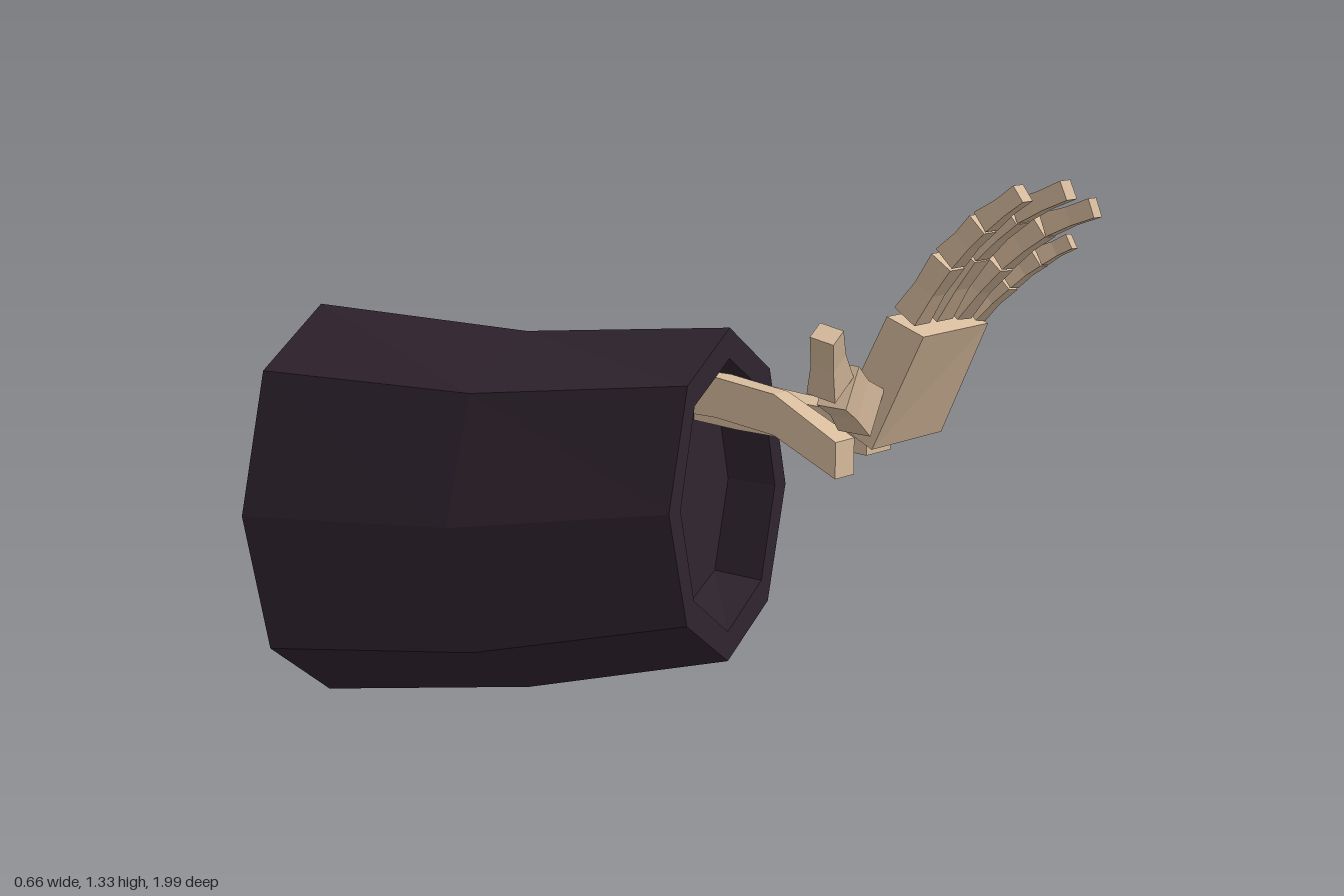
import * as THREE from 'three';

const sleeveMat = new THREE.MeshStandardMaterial({ color: 0x30242f, flatShading: true });
sleeveMat.name = 'dark cloth';
const boneMat = new THREE.MeshStandardMaterial({ color: 0xd6ba9c, flatShading: true });
boneMat.name = 'bone';

// Skin a list of rings (each counterclockwise seen from the far end) and cap both ends
function loft(name, rings, material) {
  const n = rings[0].length, last = rings.length - 1, pos = [];
  const tri = (a, b, c) => pos.push(...a, ...b, ...c);
  for (let i = 0; i < last; i++) {
    for (let j = 0; j < n; j++) {
      const k = (j + 1) % n;
      tri(rings[i][j], rings[i][k], rings[i + 1][k]);
      tri(rings[i][j], rings[i + 1][k], rings[i + 1][j]);
    }
  }
  for (let j = 1; j < n - 1; j++) {
    tri(rings[0][0], rings[0][j + 1], rings[0][j]);
    tri(rings[last][0], rings[last][j], rings[last][j + 1]);
  }
  const geo = new THREE.BufferGeometry();
  geo.setAttribute('position', new THREE.Float32BufferAttribute(pos, 3));
  geo.computeVertexNormals();
  const mesh = new THREE.Mesh(geo, material);
  mesh.name = name;
  return mesh;
}

// Eight-sided sleeve section: half widths and the five heights from bottom to top
function sleeveRing(z, wide, mid, [y0, y1, y2, y3, y4]) {
  const c = 0.05;
  return [[c, y0, z], [c + mid, y1, z], [c + wide, y2, z], [c + mid, y3, z],
    [c, y4, z], [c - mid, y3, z], [c - wide, y2, z], [c - mid, y1, z]];
}

// Rectangular section for forearm bones
function boxRing(x, y, z, w, h) {
  return [[x + w / 2, y + h / 2, z], [x - w / 2, y + h / 2, z],
    [x - w / 2, y - h / 2, z], [x + w / 2, y - h / 2, z]];
}

// Waisted, tapering finger bone from p to q
function phalanx(name, p, q, side, w0, w1, t0, t1) {
  const a = new THREE.Vector3(...p), b = new THREE.Vector3(...q);
  const d = b.clone().sub(a).normalize();
  const s = side.clone().addScaledVector(d, -side.dot(d)).normalize();
  const n = d.clone().cross(s);
  const rings = [[0.03, 1], [0.5, 0.87], [0.96, 1]].map(([f, waist]) => {
    const c = a.clone().lerp(b, f);
    const w = THREE.MathUtils.lerp(w0, w1, f) * waist / 2;
    const t = THREE.MathUtils.lerp(t0, t1, f) * waist / 2;
    return [[1, 1], [-1, 1], [-1, -1], [1, -1]].map(([u, v]) =>
      c.clone().addScaledVector(s, u * w).addScaledVector(n, v * t).toArray());
  });
  return loft(name, rings, boneMat);
}

export function createModel() {
  const model = new THREE.Group();
  model.name = 'skeletonArm';

  // Sleeve with a recessed cuff
  model.add(loft('sleeve', [
    sleeveRing(-1, 0.275, 0.195, [0.0, 0.14, 0.47, 0.8, 0.935]),
    sleeveRing(-0.37, 0.275, 0.195, [0.11, 0.23, 0.525, 0.81, 0.925]),
    sleeveRing(0.185, 0.21, 0.147, [0.26, 0.365, 0.615, 0.875, 0.98]),
    sleeveRing(0.185, 0.17, 0.122, [0.325, 0.415, 0.617, 0.83, 0.915]),
    sleeveRing(0.06, 0.17, 0.122, [0.345, 0.42, 0.617, 0.83, 0.915]),
  ], sleeveMat));

  // Forearm bones
  model.add(loft('outerForearmBone', [
    boxRing(0.135, 0.81, 0.05, 0.08, 0.09),
    boxRing(0.126, 0.802, 0.18, 0.08, 0.09),
    boxRing(0.107, 0.795, 0.36, 0.08, 0.08),
    boxRing(0.095, 0.787, 0.53, 0.09, 0.08),
  ], boneMat));
  model.add(loft('innerForearmBone', [
    boxRing(0.06, 0.835, 0.05, 0.055, 0.085),
    boxRing(0.035, 0.837, 0.18, 0.055, 0.085),
    boxRing(-0.012, 0.825, 0.36, 0.05, 0.085),
    boxRing(-0.03, 0.753, 0.53, 0.068, 0.075),
  ], boneMat));

  // Palm, leaning forward, with one bevelled back corner
  model.add(loft('palm', [
    [[0.19, 0.815, 0.56], [0.145, 0.83, 0.535], [-0.07, 0.83, 0.535], [-0.07, 0.787, 0.62], [0.19, 0.787, 0.62]],
    [[0.19, 1.04, 0.67], [0.145, 1.055, 0.65], [-0.07, 1.055, 0.65], [-0.07, 1.022, 0.735], [0.19, 1.02, 0.725]],
  ], boneMat));

  // Fingers: joints from knuckle to tip
  const fingers = {
    indexFinger: [0.057, [-0.045, 1.055, 0.69], [-0.045, 1.175, 0.775], [-0.044, 1.25, 0.85], [-0.043, 1.312, 0.935]],
    middleFinger: [0.06, [0.036, 1.055, 0.69], [0.037, 1.185, 0.78], [0.038, 1.265, 0.875], [0.038, 1.315, 0.988]],
    ringFinger: [0.06, [0.113, 1.052, 0.69], [0.127, 1.16, 0.785], [0.138, 1.232, 0.88], [0.15, 1.272, 0.985]],
    littleFinger: [0.048, [0.178, 1.04, 0.695], [0.196, 1.11, 0.765], [0.209, 1.16, 0.83], [0.221, 1.195, 0.895]],
  };
  const across = new THREE.Vector3(1, 0, 0);
  for (const [name, [w, ...joints]] of Object.entries(fingers)) {
    const finger = new THREE.Group();
    finger.name = name;
    for (let i = 0; i < 3; i++) {
      const w0 = w * (1 - i * 0.1), w1 = w * (i === 2 ? 0.65 : 0.92 - i * 0.1);
      finger.add(phalanx(`${name}Bone${i + 1}`, joints[i], joints[i + 1], across, w0, w1, w0, w1));
    }
    model.add(finger);
  }

  // Thumb
  const thumb = new THREE.Group();
  thumb.name = 'thumb';
  const depth = new THREE.Vector3(0, 0, 1);
  thumb.add(phalanx('thumbBone1', [-0.092, 0.867, 0.61], [-0.22, 0.938, 0.635], depth, 0.07, 0.062, 0.1, 0.09));
  thumb.add(phalanx('thumbBone2', [-0.235, 0.935, 0.63], [-0.317, 1.055, 0.675], depth, 0.062, 0.05, 0.078, 0.04));
  model.add(thumb);

  return model;
}
